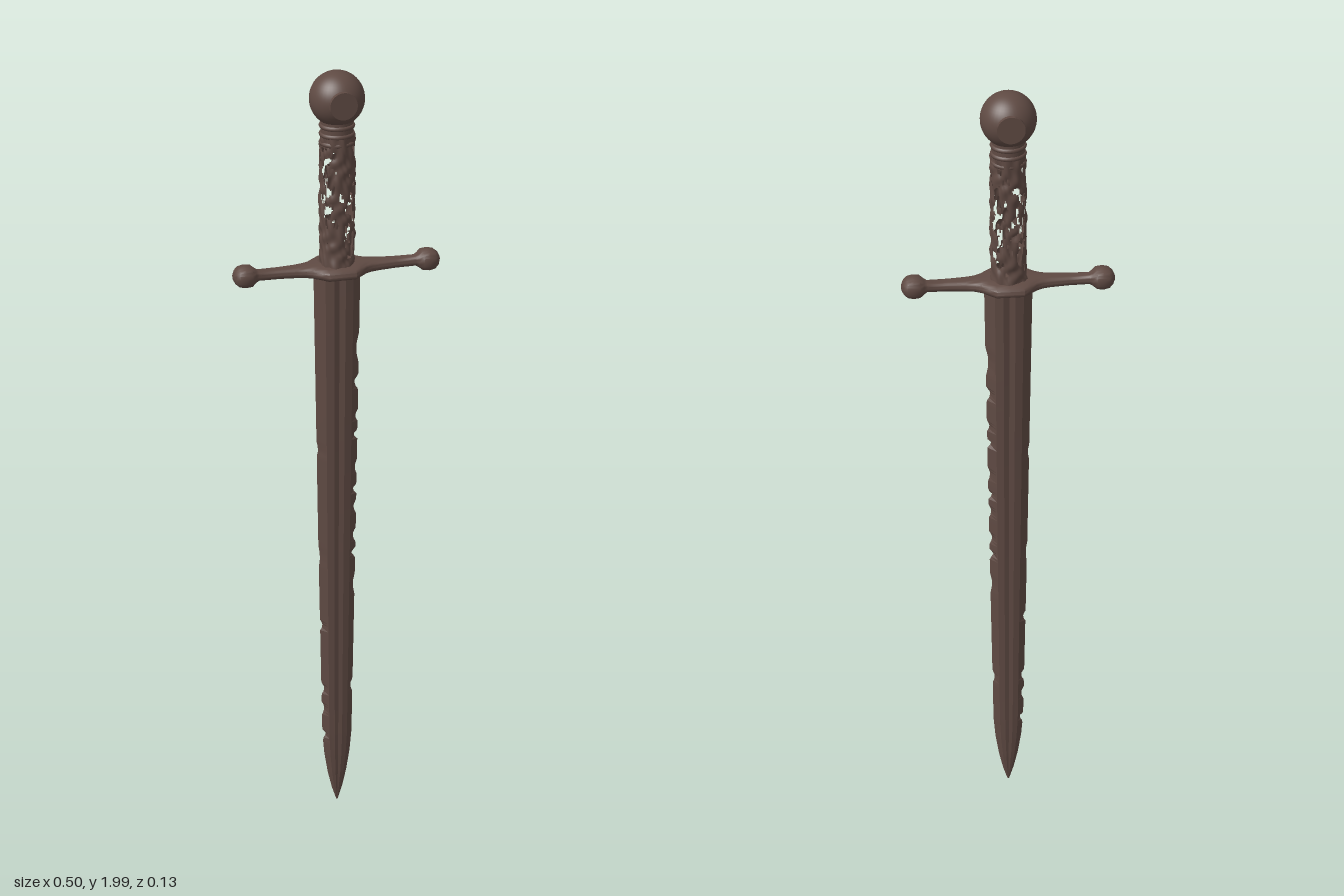
import * as THREE from 'three';
import { toCreasedNormals } from 'three/addons/utils/BufferGeometryUtils.js';

const V = (x, y, z) => new THREE.Vector3(x, y, z);

// Piecewise-linear profile: rows of [key, a, b, ...]
function sample(rows, k) {
  let i = 0;
  while (i < rows.length - 2 && k > rows[i + 1][0]) i++;
  const [p, q] = [rows[i], rows[i + 1]];
  const t = THREE.MathUtils.clamp((k - p[0]) / (q[0] - p[0]), 0, 1);
  return p.slice(1).map((v, n) => v + (q[n + 1] - v) * t);
}

// Skin over closed rings (counter-clockwise about the path direction), capped at both ends
function loft(rings, crease) {
  const n = rings[0].length, last = (rings.length - 1) * n, index = [];
  for (let i = 0; i < rings.length - 1; i++)
    for (let j = 0; j < n; j++) {
      const a = i * n + j, b = i * n + (j + 1) % n;
      index.push(a, b, a + n, b, b + n, a + n);
    }
  for (let j = 1; j < n - 1; j++) {
    index.push(0, j + 1, j);
    index.push(last, last + j, last + j + 1);
  }
  const geo = new THREE.BufferGeometry().setFromPoints(rings.flat());
  geo.setIndex(index);
  return toCreasedNormals(geo, crease);
}

// Blade: fullered hexagonal section with nicked edges
function bladeGeometry() {
  const profile = [ // y, half width, half thickness
    [0.01, 0.002, 0.001], [0.05, 0.014, 0.006], [0.1, 0.025, 0.011], [0.16, 0.034, 0.014],
    [0.22, 0.039, 0.016], [0.8, 0.048, 0.021], [1.2, 0.053, 0.026], [1.52, 0.057, 0.031]];
  const rightNicks = [ // y, depth, half height
    [1.31, 0.006, 0.04], [1.22, 0.009, 0.02], [1.13, 0.006, 0.015], [1.08, 0.009, 0.012],
    [0.99, 0.005, 0.02], [0.93, 0.009, 0.012], [0.88, 0.006, 0.02], [0.8, 0.007, 0.02],
    [0.75, 0.01, 0.012], [0.66, 0.004, 0.03], [0.36, 0.005, 0.02]];
  const leftNicks = [[1.05, 0.003, 0.02], [0.55, 0.006, 0.015], [0.36, 0.007, 0.018],
    [0.3, 0.006, 0.02], [0.22, 0.008, 0.014], [0.75, 0.003, 0.03]];
  const cut = (nicks, y) => nicks.reduce((m, [c, d, h]) =>
    Math.max(m, d * Math.min(1, 1.5 * Math.max(0, 1 - Math.abs(y - c) / h))), 0);
  const rings = [];
  for (let i = 0; i <= 190; i++) {
    const y = 0.01 + 1.51 * i / 190;
    const [w, t] = sample(profile, y);
    const r = w - cut(rightNicks, y), l = w - cut(leftNicks, y);
    rings.push([
      V(r, y, 0), V(w * 0.6, y, -t * 0.85), V(w * 0.25, y, -t), V(0, y, -t * 0.85),
      V(-w * 0.25, y, -t), V(-w * 0.6, y, -t * 0.85), V(-l, y, 0), V(-w * 0.6, y, t * 0.85),
      V(-w * 0.25, y, t), V(0, y, t * 0.85), V(w * 0.25, y, t), V(w * 0.6, y, t * 0.85)]);
  }
  return loft(rings, 0.2);
}

// Crossguard: wide centre block, slim arms and knobbed ends
function guardGeometry() {
  const half = [ // x, half height, half depth
    [0, 0.017, 0.065], [0.032, 0.017, 0.065], [0.048, 0.016, 0.05], [0.064, 0.015, 0.034],
    [0.08, 0.014, 0.026], [0.1, 0.013, 0.022], [0.14, 0.012, 0.018], [0.19, 0.012, 0.016],
    [0.197, 0.016, 0.02], [0.207, 0.024, 0.028], [0.222, 0.026, 0.029], [0.236, 0.023, 0.027],
    [0.245, 0.016, 0.018], [0.25, 0.006, 0.007]];
  const rows = half.slice(1).reverse().map(([x, a, b]) => [-x, a, b]).concat(half);
  const soft = v => Math.sign(v) * Math.abs(v) ** 0.75;
  return loft(rows.map(([x, hy, hz]) => Array.from({ length: 20 }, (_, j) => {
    const a = j / 20 * Math.PI * 2;
    return V(x, 1.522 + soft(Math.cos(a)) * hy, soft(Math.sin(a)) * hz);
  })), 0.7);
}

// Grip: rotten shell, eaten through mostly along its four diagonals
function gripGeometry() {
  const cols = 72, rows = 100, y0 = 1.53, y1 = 1.85, points = [], index = [];
  const noise = (a, y) =>
    Math.sin(3 * a + 47 * y + 2 * Math.sin(31 * y + a)) * 0.4 +
    Math.sin(7 * a - 95 * y + 1.5 * Math.sin(2 * a + 60 * y)) * 0.35 +
    Math.sin(13 * a + 150 * y + 2 * Math.sin(5 * a)) * 0.25;
  for (let i = 0; i <= rows; i++)
    for (let j = 0; j < cols; j++) {
      const a = j / cols * Math.PI * 2, y = y0 + (y1 - y0) * i / rows;
      const r = 0.0405 - 0.004 * noise(a, y) + 0.004 * Math.max(0, 1 - (y - y0) / 0.04);
      points.push(V(Math.cos(a) * r, y, -Math.sin(a) * r));
    }
  for (let i = 0; i < rows; i++)
    for (let j = 0; j < cols; j++) {
      const t = (i + 0.5) / rows, a = (j + 0.5) / cols * Math.PI * 2;
      const y = y0 + (y1 - y0) * t;
      const decay = 0.75 * Math.abs(Math.sin(2 * a)) ** 2 * Math.sin(Math.PI * t);
      if (noise(a, y) + decay > 0.62 && t > 0.08 && t < 0.93) continue;
      const p = i * cols + j, q = i * cols + (j + 1) % cols;
      index.push(p, q, p + cols, q, q + cols, p + cols);
    }
  const geo = new THREE.BufferGeometry().setFromPoints(points);
  geo.setIndex(index);
  geo.computeVertexNormals();
  return geo;
}

export function createModel() {
  const group = new THREE.Group();
  group.name = 'sword';
  const rust = new THREE.MeshStandardMaterial({ color: 0x5f4a43, side: THREE.DoubleSide });
  rust.name = 'rusted iron';
  const add = (name, geo, y = 0) => {
    const mesh = new THREE.Mesh(geo, rust);
    mesh.name = name;
    mesh.position.y = y;
    group.add(mesh);
    return mesh;
  };

  add('blade', bladeGeometry());
  add('crossguard', guardGeometry());
  add('grip', gripGeometry());

  // Collar rings between grip and pommel
  add('collar', new THREE.CylinderGeometry(0.038, 0.038, 0.07, 32), 1.86);
  for (const y of [1.833, 1.853, 1.873])
    add('collarRing', new THREE.TorusGeometry(0.036, 0.006, 8, 32).rotateX(Math.PI / 2), y);

  // Pommel: ball with a flat boss at front and back
  add('pommel', new THREE.SphereGeometry(0.064, 40, 28), 1.936);
  add('pommelBoss', toCreasedNormals(
    new THREE.CylinderGeometry(0.032, 0.032, 0.131, 32).rotateX(Math.PI / 2), 0.6), 1.936);
  return group;
}
